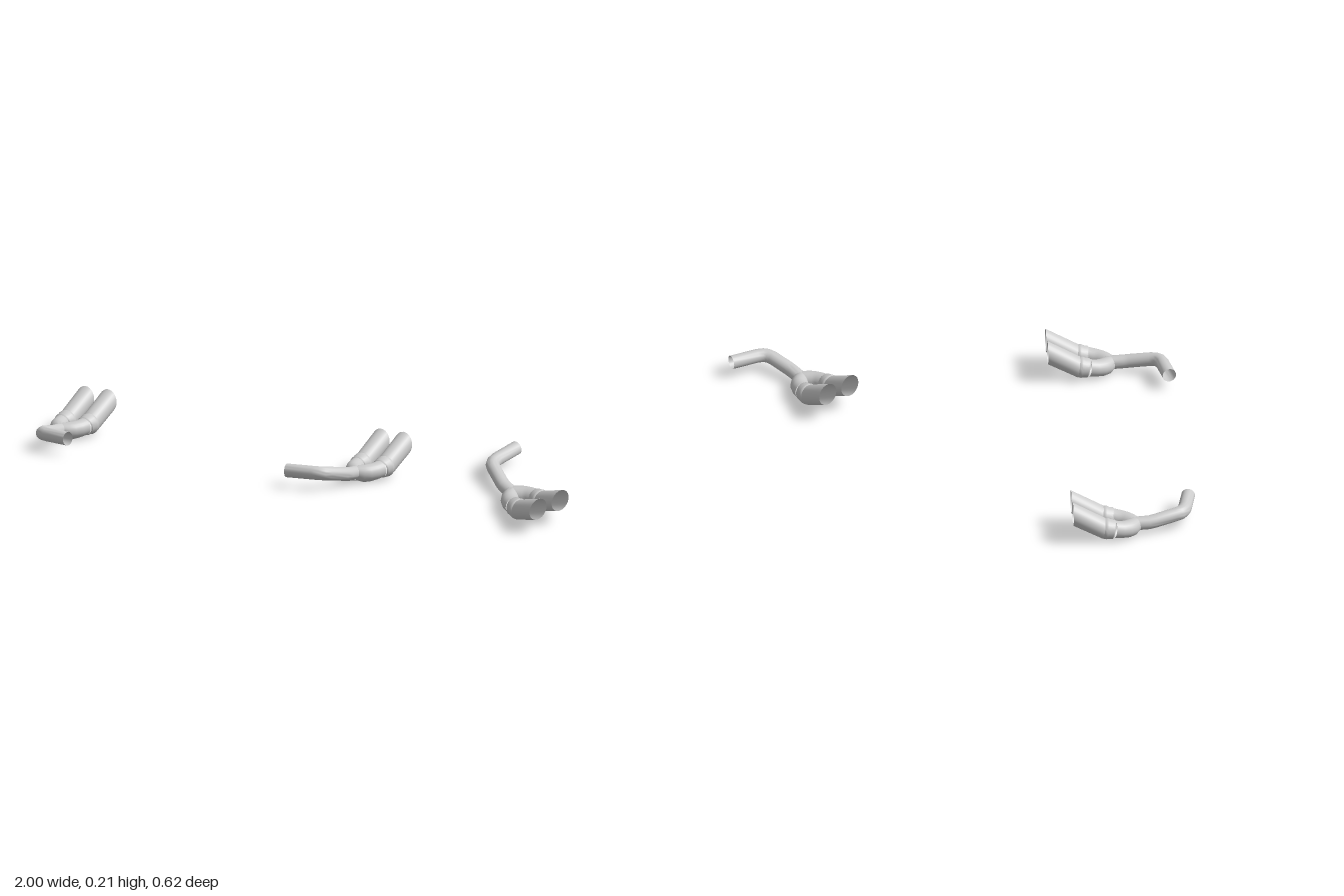
import * as THREE from 'three';
import { toCreasedNormals } from 'three/addons/utils/BufferGeometryUtils.js';

const SIDES = 24;
const material = new THREE.MeshStandardMaterial({ color: 0xcccccc, side: THREE.DoubleSide });

// Open round pipe through stations [x, y, z, radius], mitred at each bend.
// startCut / endCut optionally set the normals of the end planes.
function pipe(name, stations, startCut, endCut) {
  const pts = stations.map(([x, y, z]) => new THREE.Vector3(x, y, z));
  const last = pts.length - 1;
  const dirs = pts.slice(1).map((p, i) => p.clone().sub(pts[i]).normalize());
  const up = new THREE.Vector3(0, 1, 0);
  const positions = [];
  const index = [];
  pts.forEach((centre, i) => {
    const d = dirs[Math.max(i - 1, 0)];
    const next = dirs[Math.min(i, last - 1)];
    let n = d.clone().add(next).normalize();
    if (i === 0 && startCut) n = startCut;
    if (i === last && endCut) n = endCut;
    const u = new THREE.Vector3().crossVectors(up, d).normalize();
    const v = new THREE.Vector3().crossVectors(d, u);
    for (let j = 0; j < SIDES; j++) {
      const a = (j / SIDES) * Math.PI * 2;
      const p = u.clone().multiplyScalar(Math.cos(a)).addScaledVector(v, Math.sin(a));
      p.multiplyScalar(stations[i][3]);
      p.addScaledVector(d, -p.dot(n) / d.dot(n)).add(centre); // slide onto the cut plane
      positions.push(p.x, p.y, p.z);
      if (i < last) {
        const k = (j + 1) % SIDES;
        const [A, B, C, D] = [i * SIDES + j, i * SIDES + k, (i + 1) * SIDES + k, (i + 1) * SIDES + j];
        index.push(A, B, C, A, C, D);
      }
    }
  });
  const geometry = new THREE.BufferGeometry();
  geometry.setAttribute('position', new THREE.Float32BufferAttribute(positions, 3));
  geometry.setIndex(index);
  const mesh = new THREE.Mesh(toCreasedNormals(geometry, 0.7), material);
  mesh.name = name;
  return mesh;
}

// One exhaust: s = 1 for the left side, -1 for the right
function exhaust(s) {
  const group = new THREE.Group();
  group.name = s > 0 ? 'leftExhaust' : 'rightExhaust';
  const side = (list) => list.map(([x, y, z, r]) => [s * x, y, z, r]);

  // Inlet pipe: runs outward, bends back and drops to the fork
  group.add(pipe('inletPipe', side([
    [0.652, 0.084, 0.278, 0.034],
    [0.79, 0.084, 0.252, 0.034],
    [0.818, 0.083, 0.241, 0.034],
    [0.836, 0.081, 0.225, 0.034],
    [0.847, 0.078, 0.2, 0.034],
    [0.872, 0.06, 0.1, 0.034],
    [0.877, 0.055, 0.07, 0.034],
    [0.878, 0.05, -0.02, 0.034],
  ])));

  for (const [label, tipX] of [['inner', 0.813], ['outer', 0.947]]) {
    const t = Math.sign(tipX - 0.88);
    // Fork branch, ending in a stepped collar
    group.add(pipe(label + 'Branch', side([
      [0.879, 0.05, 0.004, 0.036],
      [0.88 + t * 0.026, 0.046, -0.02, 0.043],
      [0.88 + t * 0.046, 0.048, -0.042, 0.043],
      [0.88 + t * 0.06, 0.052, -0.07, 0.042],
      [tipX, 0.058, -0.106, 0.043],
    ])));
    group.add(pipe(label + 'Collar', side([
      [tipX, 0.058, -0.106, 0.043],
      [tipX, 0.059, -0.111, 0.048],
      [tipX, 0.061, -0.13, 0.049],
      [tipX, 0.063, -0.142, 0.053],
      [tipX, 0.064, -0.15, 0.053],
      [tipX, 0.065, -0.158, 0.05],
    ])));
    // Upswept tailpipe tip with a vertical outlet
    group.add(pipe(label + 'Tip', side([
      [tipX, 0.065, -0.158, 0.05],
      [tipX, 0.149, -0.312, 0.052],
    ]), new THREE.Vector3(0, 0.12, -0.99).normalize(), new THREE.Vector3(0, 0, -1)));
  }
  return group;
}

export function createModel() {
  const model = new THREE.Group();
  model.name = 'twinExhausts';
  model.add(exhaust(1), exhaust(-1));
  return model;
}
